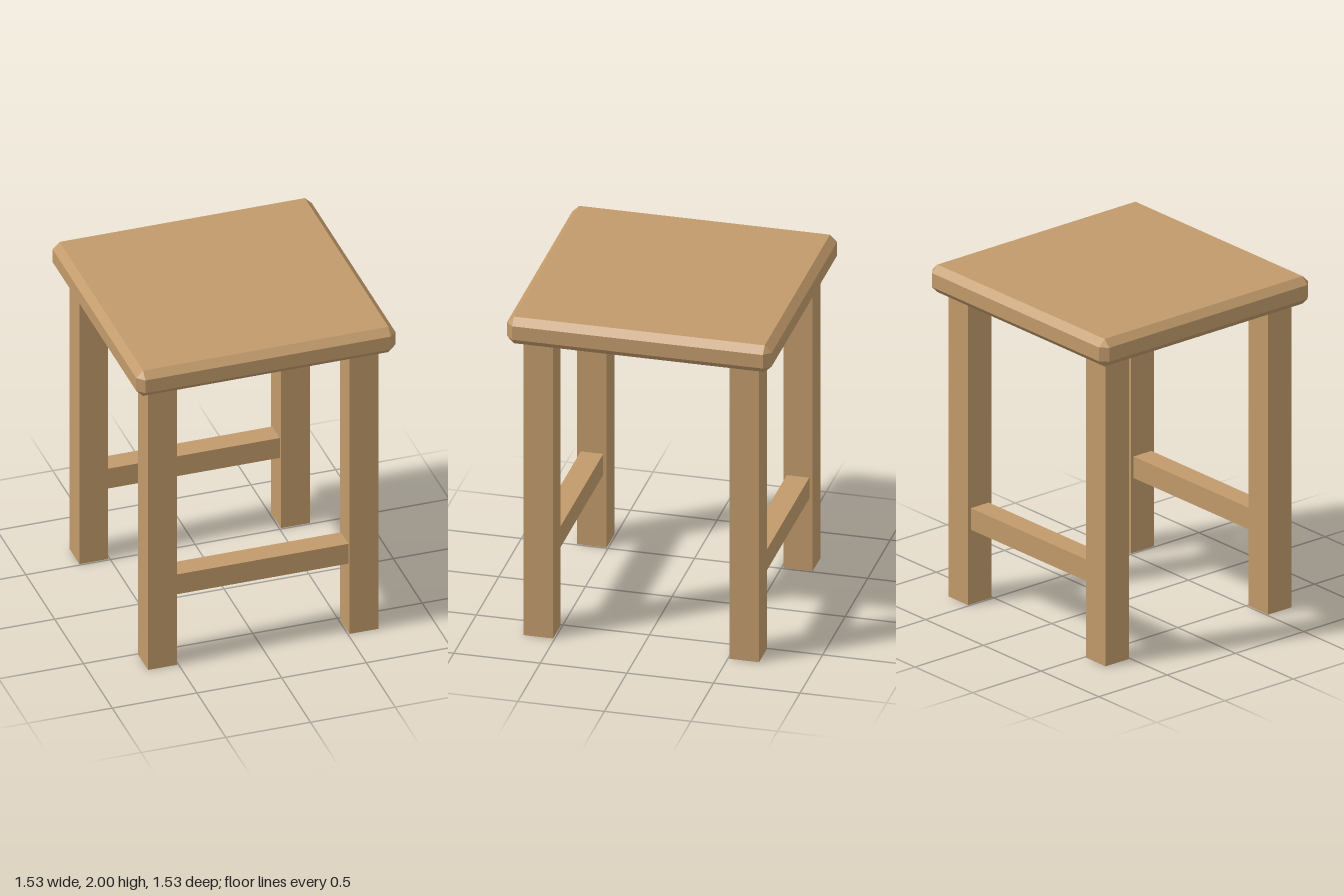
import * as THREE from 'three';
import { ConvexGeometry } from 'three/addons/geometries/ConvexGeometry.js';

// Box with every edge cut at 45 degrees and a triangle at each corner
function chamferedBox(w, h, d, bevel) {
  const half = [w / 2, h / 2, d / 2];
  const points = [];
  for (const sx of [-1, 1]) for (const sy of [-1, 1]) for (const sz of [-1, 1]) {
    for (let axis = 0; axis < 3; axis++) {
      const [x, y, z] = half.map((v, i) => (i === axis ? v : v - bevel));
      points.push(new THREE.Vector3(sx * x, sy * y, sz * z));
    }
  }
  return new ConvexGeometry(points);
}

export function createModel() {
  const stool = new THREE.Group();
  stool.name = 'stool';
  const wood = new THREE.MeshStandardMaterial({ color: 0xc19a6b });
  wood.name = 'wood';

  const add = (name, geometry, x, y, z) => {
    const mesh = new THREE.Mesh(geometry, wood);
    mesh.name = name;
    mesh.position.set(x, y, z);
    stool.add(mesh);
  };

  const seatHeight = 0.166, legHeight = 2 - seatHeight;
  const legWidth = 0.17, legOffset = 0.595;

  // Seat
  add('seat', chamferedBox(1.53, seatHeight, 1.53, 0.041), 0, 2 - seatHeight / 2, 0);

  // Legs, and a stretcher between each front and back pair
  const leg = new THREE.BoxGeometry(legWidth, legHeight, legWidth);
  const stretcher = new THREE.BoxGeometry(2 * legOffset - legWidth, 0.13, 0.13);
  for (const [end, z] of [['front', legOffset], ['back', -legOffset]]) {
    add(`${end}LeftLeg`, leg, legOffset, legHeight / 2, z);
    add(`${end}RightLeg`, leg, -legOffset, legHeight / 2, z);
    add(`${end}Stretcher`, stretcher, 0, 0.515, z);
  }
  return stool;
}
